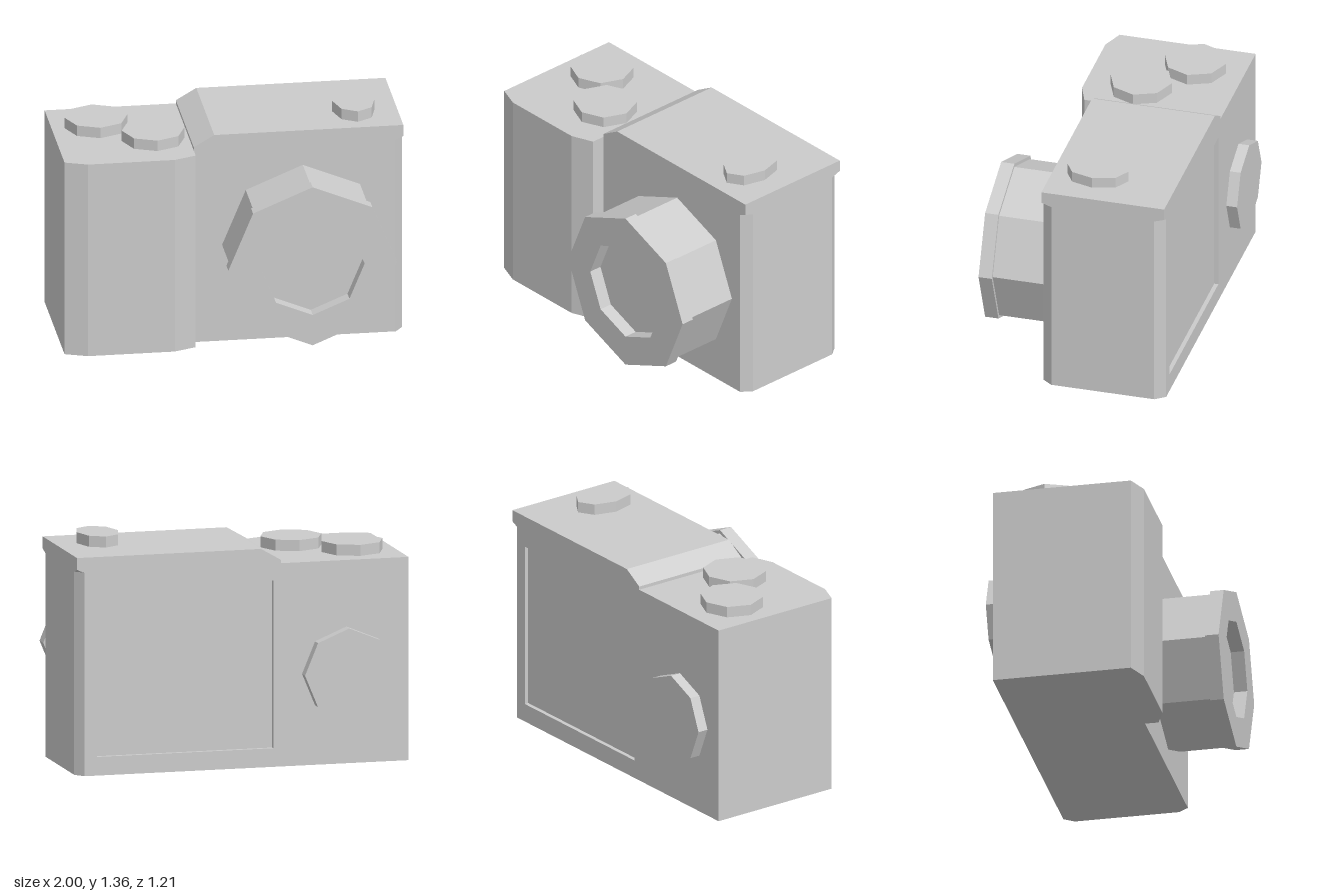
import * as THREE from 'three';
import { ConvexGeometry } from 'three/addons/geometries/ConvexGeometry.js';

const material = new THREE.MeshStandardMaterial({ color: 0xcccccc, flatShading: true });

// Vertical prism from a plan outline of [x, z] points.
function prism(outline, height) {
  const shape = new THREE.Shape(outline.map(([x, z]) => new THREE.Vector2(x, -z)));
  return new THREE.ExtrudeGeometry(shape, { depth: height, bevelEnabled: false }).rotateX(-Math.PI / 2);
}

// Eight-sided disc, upright, with its base at y = 0.
function disc(radius, height) {
  return new THREE.CylinderGeometry(radius, radius, height, 8).translate(0, height / 2, 0);
}

export function createModel() {
  const group = new THREE.Group();
  const add = (name, geometry, x = 0, y = 0, z = 0) => {
    const mesh = new THREE.Mesh(geometry, material);
    mesh.name = name;
    mesh.position.set(x, y, z);
    group.add(mesh);
    return mesh;
  };

  const front = 0.2, back = -0.54, seam = -0.23;
  const recess = 0.025, screenZ = back + recess;

  // Hand grip with bevelled front corners
  add('grip', prism([[-1, back], [seam, back], [seam, 0.28], [-0.36, 0.33], [-0.87, 0.33], [-1, 0.28]], 1.2));

  // Main body with bevelled outer corners; its back is the screen surface
  add('body', prism([[seam, screenZ], [0.974, screenZ], [1, -0.48], [1, 0.14], [0.955, front], [seam, front]], 1.2));

  // Back wall with the screen opening, tapered to follow the corner bevel
  const wall = new THREE.Shape([[seam, 0], [0.974, 0], [0.974, 1.2], [seam, 1.2]].map(p => new THREE.Vector2(...p)));
  wall.holes.push(new THREE.Path([[-0.185, 0.11], [-0.185, 1.1], [0.88, 1.1], [0.88, 0.11]].map(p => new THREE.Vector2(...p))));
  const wallGeometry = new THREE.ExtrudeGeometry(wall, { depth: recess, bevelEnabled: false });
  const pos = wallGeometry.attributes.position;
  for (let i = 0; i < pos.count; i++) {
    if (pos.getX(i) > 0.95 && pos.getZ(i) < recess / 2) pos.setX(i, 0.955);
  }
  wallGeometry.computeVertexNormals();
  add('screenFrame', wallGeometry, 0, 0, back);

  // Top cover, overhanging the bevelled corners and sloping down to the grip
  const cover = [];
  for (const [z, inner] of [[front, 0.14], [back, -0.48]]) {
    cover.push(
      [seam, 1.2, z], [seam, 1.22, z], [-0.11, 1.29, z], [1, 1.29, z],
      [1, 1.22, z], [0.955, 1.2, z], [1, 1.2, inner]
    );
  }
  add('topCover', new ConvexGeometry(cover.map(p => new THREE.Vector3(...p))));

  // Lens barrel, wider front ring and sunken glass
  const profile = [[0.474, 0.2], [0.474, 0.525], [0.495, 0.525], [0.495, 0.605], [0.305, 0.605], [0.305, 0.525], [0, 0.525]];
  const lens = new THREE.LatheGeometry(profile.map(p => new THREE.Vector2(...p)), 8).rotateX(Math.PI / 2);
  add('lens', lens, 0.41, 0.6, 0);

  // Dials on the grip
  add('rearTopDial', disc(0.184, 0.065), -0.74, 1.2, -0.25);
  add('frontTopDial', disc(0.184, 0.065), -0.44, 1.2, -0.005);

  // Oval button on the cover
  add('topButton', disc(0.184, 0.065), 0.745, 1.29, -0.07).scale.x = 0.68;

  // Control dial on the back
  add('backDial', disc(0.267, 0.065).rotateX(-Math.PI / 2), -0.625, 0.54, back);

  return group;
}
